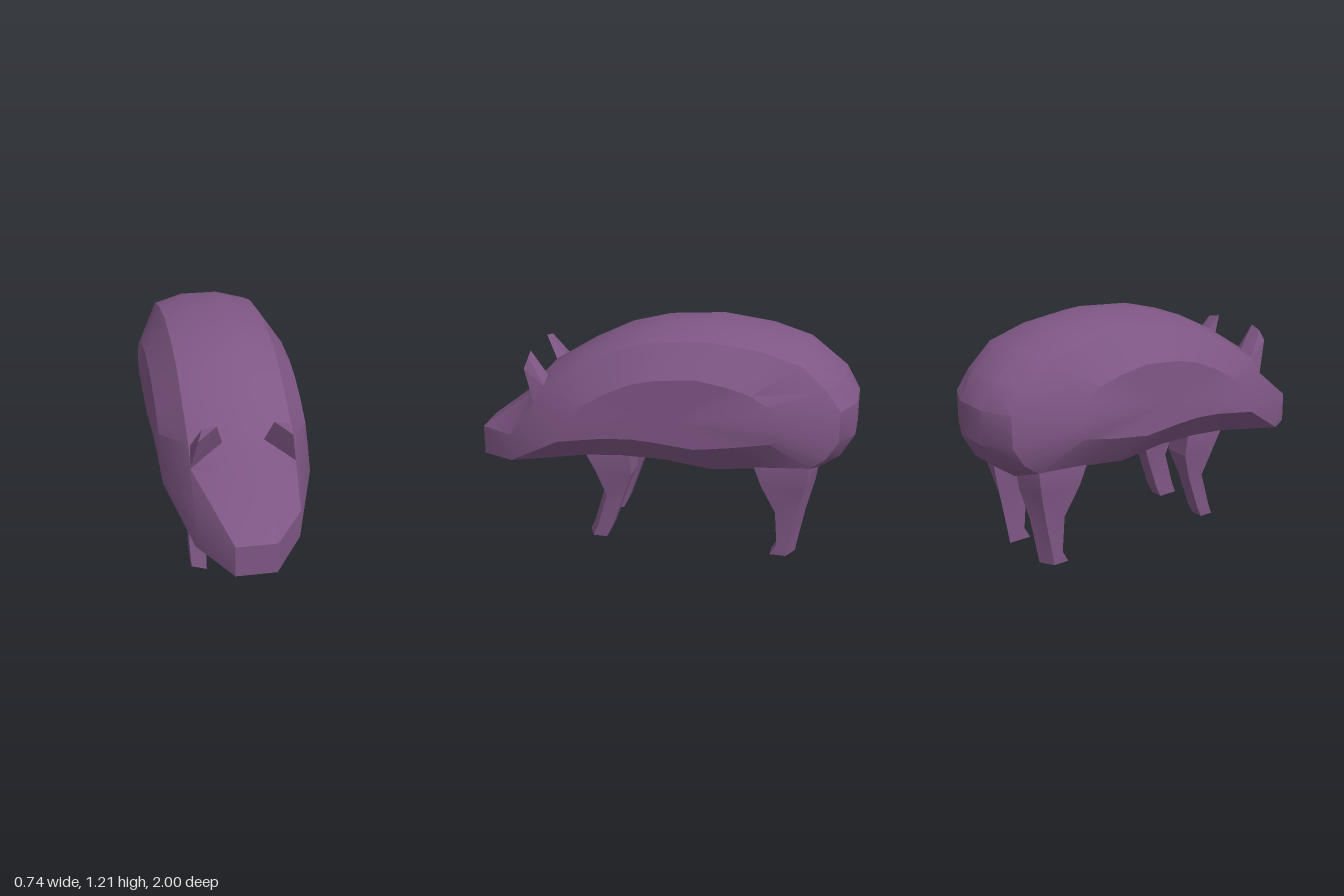
import * as THREE from 'three';
import { toCreasedNormals } from 'three/addons/utils/BufferGeometryUtils.js';
import { ConvexGeometry } from 'three/addons/geometries/ConvexGeometry.js';

// Skin a list of equal-length rings of [x, y, z] and close both ends.
function loft(rings, flip = false, crease = 0.5) {
  const pos = [];
  const tri = (a, b, c) => pos.push(...a, ...(flip ? c : b), ...(flip ? b : c));
  const n = rings[0].length;
  for (let i = 0; i < rings.length - 1; i++) {
    for (let j = 0; j < n; j++) {
      const k = (j + 1) % n;
      tri(rings[i][j], rings[i][k], rings[i + 1][k]);
      tri(rings[i][j], rings[i + 1][k], rings[i + 1][j]);
    }
  }
  const cap = (ring, reverse) => {
    const mid = [0, 1, 2].map((c) => ring.reduce((sum, p) => sum + p[c], 0) / n);
    for (let j = 0; j < n; j++) {
      const a = ring[j], b = ring[(j + 1) % n];
      if (reverse) tri(mid, b, a); else tri(mid, a, b);
    }
  };
  cap(rings[0], true);
  cap(rings[rings.length - 1], false);
  const geo = new THREE.BufferGeometry();
  geo.setAttribute('position', new THREE.Float32BufferAttribute(pos, 3));
  return toCreasedNormals(geo, crease);
}

// Side profiles [z, y] from snout top, over the back, and along the belly.
const spine = [
  [1, 0.535], [0.72, 0.755], [0.63, 0.885], [0.4, 1.03], [0.2, 1.13], [0, 1.185], [-0.29, 1.21],
  [-0.56, 1.17], [-0.77, 1.1], [-0.93, 0.975], [-1, 0.85], [-1, 0.675], [-0.93, 0.55], [-0.83, 0.48],
  [-0.58, 0.465], [-0.29, 0.435], [0, 0.465], [0.2, 0.475], [0.4, 0.46], [0.63, 0.415], [1, 0.375],
];
const shoulder = [
  [0.79, 0.565], [0.65, 0.765], [0.59, 0.86], [0.4, 0.98], [0.2, 1.085], [0, 1.14], [-0.28, 1.16],
  [-0.53, 1.13], [-0.73, 1.07], [-0.86, 0.95], [-0.93, 0.85], [-0.93, 0.69], [-0.87, 0.59], [-0.79, 0.53],
  [-0.55, 0.51], [-0.29, 0.48], [-0.04, 0.51], [0.18, 0.51], [0.37, 0.495], [0.59, 0.455], [0.79, 0.42],
];
const flank = [
  [0.49, 0.605], [0.43, 0.71], [0.36, 0.81], [0.23, 0.89], [0.1, 0.95], [-0.02, 0.98], [-0.22, 1],
  [-0.38, 0.975], [-0.5, 0.94], [-0.58, 0.89], [-0.63, 0.83], [-0.65, 0.76], [-0.64, 0.72], [-0.6, 0.695],
  [-0.42, 0.66], [-0.22, 0.63], [0, 0.65], [0.1, 0.655], [0.25, 0.645], [0.37, 0.625], [0.49, 0.605],
];

function bodyGeometry() {
  const columns = [[-0.37, flank], [-0.255, shoulder], [-0.1, spine], [0.1, spine], [0.255, shoulder], [0.37, flank]];
  return loft(columns.map(([x, profile]) => profile.map(([z, y]) => [x, y, z]).reverse()));
}

// Leg levels: [y, inner x, outer x, front z, back z]; bevel cuts the outer corner.
const frontLevels = [
  [0, 0.14, 0.215, 0.39, 0.28], [0.06, 0.138, 0.218, 0.365, 0.25], [0.25, 0.135, 0.22, 0.31, 0.185],
  [0.4, 0.112, 0.25, 0.36, 0.13], [0.5, 0.11, 0.255, 0.41, 0.14], [0.6, 0.11, 0.25, 0.41, 0.14],
];
const hindLevels = [
  [0, 0.14, 0.215, -0.605, -0.73], [0.06, 0.138, 0.218, -0.64, -0.74], [0.25, 0.135, 0.22, -0.625, -0.775],
  [0.41, 0.112, 0.25, -0.55, -0.815], [0.51, 0.11, 0.26, -0.515, -0.83], [0.62, 0.11, 0.25, -0.53, -0.83],
];

function legGeometry(levels, side, frontBevel, backBevel) {
  const rings = levels.map(([y, inner, outer, front, back]) => [
    [side * inner, y, front], [side * outer, y, front - frontBevel],
    [side * outer, y, back + backBevel], [side * inner, y, back],
  ]);
  return loft(rings, side < 0, 0.35);
}

// Cupped, pointed ear with a broad front face and a ridged back.
function earGeometry(side) {
  const points = [
    [0.1, 0.88, 0.63], [0.135, 1.005, 0.695], [0.225, 0.935, 0.705], [0.255, 0.765, 0.65],
    [0.16, 0.86, 0.575], [0.205, 0.99, 0.685], [0.25, 0.85, 0.585],
  ];
  return new ConvexGeometry(points.map(([x, y, z]) => new THREE.Vector3(side * x, y, z)));
}

export function createModel() {
  const model = new THREE.Group();
  const hide = new THREE.MeshStandardMaterial({ color: 0x7f5785 });
  hide.name = 'plum hide';
  const add = (name, geometry) => {
    const mesh = new THREE.Mesh(geometry, hide);
    mesh.name = name;
    model.add(mesh);
  };

  add('body', bodyGeometry());
  for (const [label, side] of [['left', 1], ['right', -1]]) {
    add(label + 'FrontLeg', legGeometry(frontLevels, side, 0.035, 0));
    add(label + 'HindLeg', legGeometry(hindLevels, side, 0, 0.04));
    add(label + 'Ear', earGeometry(side));
  }
  return model;
}
